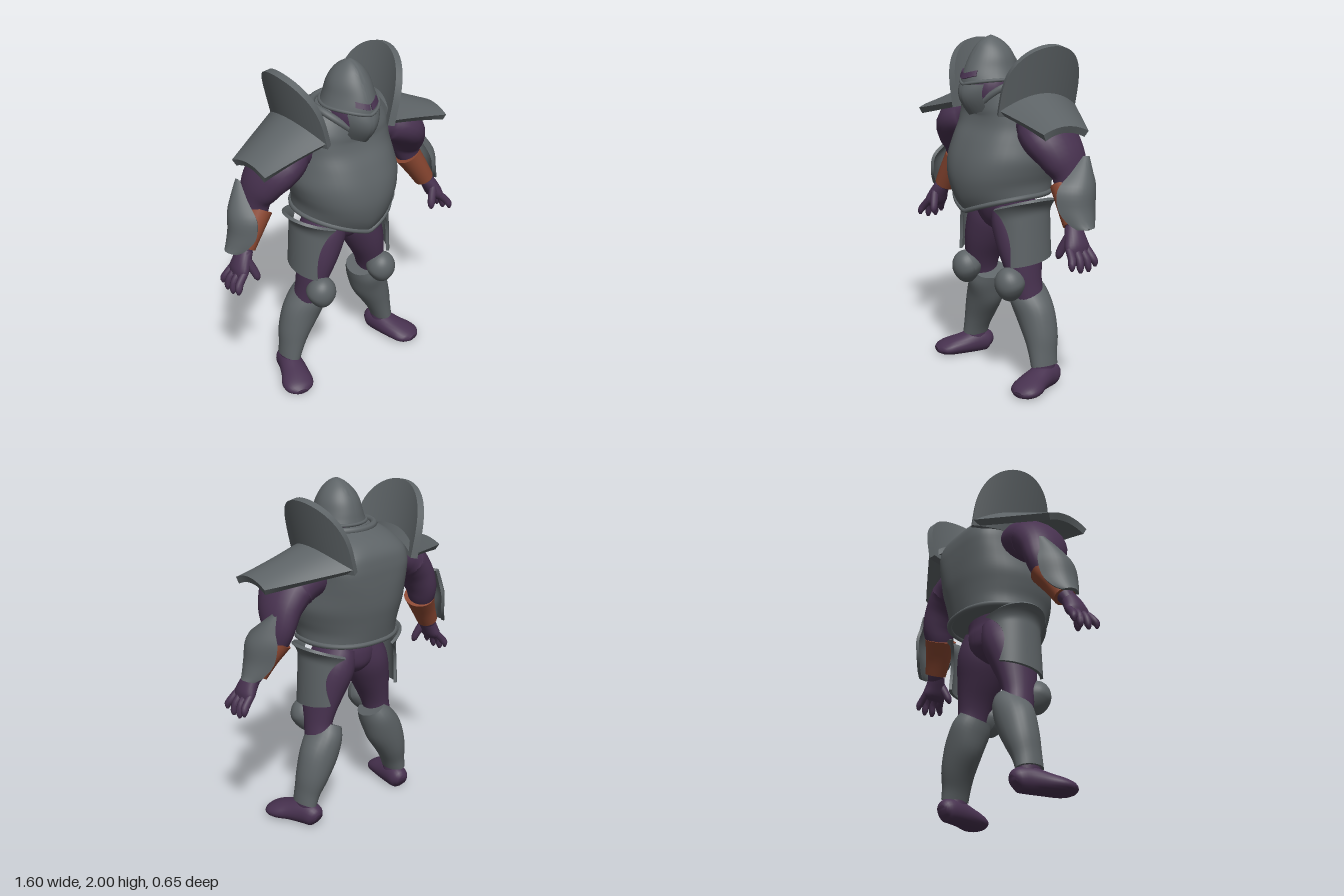
import * as THREE from 'three';
import { toCreasedNormals } from 'three/addons/utils/BufferGeometryUtils.js';

const steel = new THREE.MeshStandardMaterial({ color: 0x5d6366 });
steel.name = 'steel';
const violet = new THREE.MeshStandardMaterial({ color: 0x483250 });
violet.name = 'violet';
const rust = new THREE.MeshStandardMaterial({ color: 0x8c4832 });
rust.name = 'rust';

const M = 48;
const V = (x, y, z) => new THREE.Vector3(x, y, z);
const lerp = THREE.MathUtils.lerp;

// Catmull-Rom refinement of rows of numbers
function smooth(rows, n = 4) {
  const out = [];
  for (let i = 0; i < rows.length - 1; i++) {
    const p = [rows[Math.max(0, i - 1)], rows[i], rows[i + 1], rows[Math.min(rows.length - 1, i + 2)]];
    for (let k = 0; k < n; k++) {
      const t = k / n;
      out.push(rows[i].map((_, c) => {
        const [a, b, d, e] = p.map((r) => r[c]);
        return 0.5 * (2 * b + (d - a) * t + (2 * a - 5 * b + 4 * d - e) * t * t + (3 * b - a - 3 * d + e) * t * t * t);
      }));
    }
  }
  out.push(rows[rows.length - 1]);
  return out;
}

// Skin over closed rings, both ends closed by strips
function loft(rings, crease = 0.9) {
  const m = rings[0].length, last = (rings.length - 1) * m, pos = [], idx = [];
  rings.forEach((r) => r.forEach((p) => pos.push(p.x, p.y, p.z)));
  for (let i = 0; i < rings.length - 1; i++) {
    for (let j = 0; j < m; j++) {
      const a = i * m + j, b = i * m + (j + 1) % m;
      idx.push(a, b, a + m, b, b + m, a + m);
    }
  }
  for (let j = 0; j < m / 2 - 1; j++) {
    const a = j, b = j + 1, c = m - 2 - j, d = m - 1 - j;
    idx.push(a, c, b, a, d, c);
    idx.push(last + a, last + b, last + c, last + a, last + c, last + d);
  }
  const g = new THREE.BufferGeometry();
  g.setAttribute('position', new THREE.Float32BufferAttribute(pos, 3));
  g.setIndex(idx);
  return toCreasedNormals(g, crease);
}

// Point on a level oval: row = [y, halfWidth, zFront, zBack, frontDrop, keel, squareness]
function oval([y, w, zf, zb, drop = 0, keel = 0, square = 0], a) {
  const c = Math.cos(a), s = Math.sin(a);
  const sx = Math.sign(s) * Math.abs(s) ** (1 - square * (c < 0 ? 1.35 : 1));
  return V(w * sx * (1 - keel * Math.max(0, c)), y - (c > 0 ? drop * (1 - Math.abs(sx)) : 0),
    (zf + zb) / 2 + (zf - zb) / 2 * c);
}
// Samples crowd towards the front and back centre lines
const ovalRing = (row) => Array.from({ length: M }, (_, j) => {
  const a = 2 * Math.PI * (j + 0.5) / M;
  return oval(row, a - 0.25 * Math.sin(2 * a));
});
const body = (rows) => loft(smooth(rows).map(ovalRing));
const rim = (row, r) => new THREE.TubeGeometry(new THREE.CatmullRomCurve3(ovalRing(row), true), 80, r, 8, true);

// Limb along a path: rows = [x, y, z, sideRadius, refRadius]
function limb(rows, { ref = V(0, 0, 1), m = 24, n = 4 } = {}) {
  const r = smooth(rows, n), at = (i) => V(...r[Math.min(r.length - 1, Math.max(0, i))].slice(0, 3));
  return loft(r.map((row, i) => {
    const t = at(i + 1).sub(at(i - 1)).normalize();
    const e0 = ref.clone().addScaledVector(t, -ref.dot(t)).normalize();
    const e1 = t.clone().cross(e0);
    return Array.from({ length: m }, (_, j) => {
      const a = 2 * Math.PI * (j + 0.5) / m;
      return at(i).addScaledVector(e1, row[3] * Math.sin(a)).addScaledVector(e0, row[4] * Math.cos(a));
    });
  }));
}

// Curved plate of even thickness around a surface f(u, v)
function slab(f, nu, nv, th) {
  const e = 0.01, rings = [];
  for (let i = 0; i <= nu; i++) {
    const top = [], low = [];
    for (let j = 0; j <= nv; j++) {
      const u = i / nu, v = j / nv, p = f(u, v);
      const du = f(Math.min(1, u + e), v).sub(f(Math.max(0, u - e), v));
      const dv = f(u, Math.min(1, v + e)).sub(f(u, Math.max(0, v - e)));
      const n = dv.cross(du).normalize();
      top.push(p.clone().addScaledVector(n, th / 2));
      low.unshift(p.clone().addScaledVector(n, -th / 2));
    }
    rings.push([...top, ...low]);
  }
  return loft(rings, 0.7);
}

// Mirror across x, keeping faces outward
function mirror(geo) {
  const g = geo.index ? geo.toNonIndexed() : geo.clone();
  for (const name of ['position', 'normal']) {
    const a = g.attributes[name];
    for (let i = 0; i < a.count; i += 3) {
      const p = [0, 2, 1].map((k) => [-a.getX(i + k), a.getY(i + k), a.getZ(i + k)]);
      p.forEach((q, k) => a.setXYZ(i + k, ...q));
    }
  }
  return g;
}

export function createModel() {
  const model = new THREE.Group();
  model.name = 'armouredWarrior';
  const add = (name, geo, mat) => {
    const mesh = new THREE.Mesh(geo, mat);
    mesh.name = name;
    model.add(mesh);
  };
  const pair = (name, geo, mat) => {
    add(name + 'Left', geo, mat);
    add(name + 'Right', mirror(geo), mat);
  };

  // Cuirass: square shoulders, pointed lower edge and V-shaped collar
  const hem = [1.12, 0.292, 0.275, -0.25, 0.105, 0, 0.1], neck = [1.745, 0.185, 0.2, -0.12, 0.165, 0, 0];
  add('cuirass', body([hem, [1.18, 0.293, 0.31, -0.262, 0.09, 0, 0.1], [1.25, 0.312, 0.327, -0.275, 0.05, 0, 0.1],
    [1.33, 0.326, 0.312, -0.287, 0.02, 0, 0.15], [1.42, 0.312, 0.268, -0.29, 0, 0, 0.28],
    [1.5, 0.3, 0.222, -0.288, 0, 0, 0.4], [1.57, 0.295, 0.202, -0.283, 0.02, 0, 0.45],
    [1.64, 0.284, 0.2, -0.265, 0.075, 0, 0.38], [1.7, 0.245, 0.2, -0.21, 0.125, 0, 0.2], neck]), steel);
  add('cuirassHem', rim(hem, 0.015), steel);
  add('collar', rim(neck, 0.02), steel);

  // Head, helmet and face guard
  add('head', new THREE.SphereGeometry(1, 28, 20).scale(0.138, 0.17, 0.145).translate(0, 1.695, 0.09), violet);
  const brow = [1.765, 0.162, 0.275, -0.08, 0.03, 0.2];
  add('helmet', body([brow, [1.79, 0.15, 0.268, -0.074, 0.012, 0.2], [1.83, 0.135, 0.25, -0.065, 0, 0.18],
    [1.88, 0.12, 0.225, -0.048, 0, 0.14], [1.92, 0.099, 0.2, -0.025, 0, 0.1], [1.955, 0.07, 0.173, 0.005, 0, 0.05],
    [1.985, 0.034, 0.134, 0.05, 0, 0], [2.0, 0.004, 0.096, 0.088, 0, 0]]), steel);
  add('helmetRim', rim(brow, 0.01), steel);
  add('faceGuard', slab((u, v) => oval([1.6 + 0.145 * u, 0.11 + 0.035 * u, 0.228 + 0.058 * Math.sin(2.2 * u),
    -0.05, 0.03 - 0.01 * u, 0.25], lerp(-0.95, 0.95, v)), 8, 30, 0.024), steel);
  pair('eyeSlit', slab((u, v) => {
    const a = lerp(0.04, 0.62, v), y = 1.766 + 0.02 * v + 0.03 * u, d = y - 1.78;
    return oval([y, 0.158 - 0.38 * d, 0.276 - 0.44 * d, -0.07, 0, 0.2], a);
  }, 2, 10, 0.007), violet);

  // Shoulder armour: sloping plate and upright curved fin
  pair('shoulderPlate', slab((u, v) => V(0.23 + 0.4 * u + 0.015 * u * v,
    1.715 - 0.17 * u - 0.12 * (1 - 0.72 * u) * (2 * v - 1) ** 2,
    lerp(0.185 - 0.008 * Math.sin(Math.PI * u), -0.31 + 0.23 * u, v)), 12, 16, 0.04), steel);
  pair('shoulderFin', slab((u, v) => {
    const s = Math.max(0, Math.sin(Math.PI * u)), h = v * (0.05 + 0.33 * s ** 0.7);
    return V(0.215 + 0.06 * s * s + 0.25 * h, 1.58 + h, -0.06 + 0.255 * Math.cos(Math.PI * u));
  }, 32, 8, 0.04), steel);

  // Arms, bracers and elbow shields
  pair('arm', limb([[0.2, 1.5, -0.02, 0.1, 0.11], [0.32, 1.515, -0.02, 0.12, 0.145], [0.425, 1.47, 0, 0.12, 0.175],
    [0.5, 1.385, -0.025, 0.1, 0.15], [0.538, 1.29, -0.05, 0.08, 0.115], [0.558, 1.2, -0.04, 0.066, 0.085],
    [0.61, 1.1, -0.01, 0.05, 0.06], [0.66, 1.03, 0.005, 0.046, 0.052], [0.69, 0.98, 0.02, 0.036, 0.05]]), violet);
  pair('bracer', limb([[0.543, 1.215, -0.038, 0.08, 0.1], [0.603, 1.12, -0.015, 0.069, 0.08],
    [0.657, 1.028, 0, 0.06, 0.066]]), rust);
  const shield = smooth([[1.38, 0.615, 0.015, -0.11], [1.3, 0.67, 0.07, -0.065], [1.22, 0.71, 0.125, -0.03],
    [1.12, 0.722, 0.12, -0.02], [1.05, 0.742, 0.085, -0.02], [1.02, 0.758, 0.05, -0.02]], 4);
  pair('elbowShield', slab((u, v) => {
    const k = u * (shield.length - 1), i = Math.min(shield.length - 2, Math.floor(k)), t = 2 * v - 1;
    const [y, x, w, z] = shield[i].map((q, c) => lerp(q, shield[i + 1][c], k - i));
    return V(x - 0.65 * w * t * t, y, z + w * t);
  }, 20, 14, 0.018), steel);

  // Hands
  pair('palm', limb([[0.665, 1.02, 0.015, 0.042, 0.05], [0.695, 0.97, 0.025, 0.044, 0.064],
    [0.72, 0.92, 0.03, 0.04, 0.077], [0.738, 0.89, 0.03, 0.024, 0.064]]), violet);
  [[0.085, 0.112, 0.82], [0.047, 0.055, 0.8], [0.01, 0.002, 0.8], [-0.025, -0.042, 0.822]].forEach(([z0, z1, y]) => {
    pair('finger', limb([[0.715, 0.925, z0, 0.022, 0.021], [0.762, 0.875, (z0 + z1) / 2, 0.023, 0.022],
      [0.778, y + 0.025, z1, 0.02, 0.019], [0.78, y, z1, 0.008, 0.008]], { m: 10, n: 3 }), violet);
  });
  pair('thumb', limb([[0.685, 0.98, 0.06, 0.026, 0.026], [0.655, 0.91, 0.085, 0.024, 0.024],
    [0.645, 0.875, 0.095, 0.02, 0.02], [0.642, 0.855, 0.098, 0.008, 0.008]], { m: 10, n: 3 }), violet);

  // Hips and legs
  add('hips', body([[0.865, 0.02, 0.03, -0.05], [0.9, 0.085, 0.1, -0.11], [0.95, 0.15, 0.14, -0.145],
    [1.02, 0.192, 0.165, -0.15], [1.08, 0.2, 0.172, -0.14], [1.18, 0.2, 0.17, -0.14]]), violet);
  pair('leg', limb([[0.085, 1.05, 0, 0.1, 0.14], [0.125, 0.94, 0, 0.126, 0.155], [0.172, 0.81, 0.01, 0.115, 0.14],
    [0.21, 0.68, 0.01, 0.086, 0.115], [0.23, 0.58, 0, 0.072, 0.095], [0.24, 0.48, -0.02, 0.075, 0.09]]), violet);
  // Thigh guards have hollowed front and back edges and a flared top
  pair('thighGuard', slab((u, v) => {
    const hollow = Math.sin(Math.PI * u), flare = Math.max(0, 1 - 4 * u) ** 2;
    const a = lerp(0.03 + 0.25 * hollow + 0.45 * u, Math.PI - 0.08 - 0.45 * hollow - 0.3 * u, v);
    return V(0.16 + 0.05 * u + (0.145 - 0.035 * u + 0.055 * flare) * Math.sin(a),
      lerp(1.04 + 0.07 * Math.sin(a), 0.715 + 0.045 * v, u), (0.165 - 0.01 * u + 0.02 * flare) * Math.cos(a));
  }, 24, 24, 0.018), steel);

  // Knee caps narrow towards the lower point
  const knee = new THREE.SphereGeometry(1, 28, 20), kp = knee.attributes.position;
  for (let i = 0; i < kp.count; i++) kp.setX(i, kp.getX(i) * (1 - 0.35 * Math.max(0, -kp.getY(i))));
  knee.computeVertexNormals();
  pair('kneeCap', knee.scale(0.09, 0.102, 0.088).rotateX(0.3).translate(0.225, 0.608, 0.118), steel);
  pair('greave', limb([[0.175, 0.58, -0.015, 0.08, 0.098], [0.205, 0.52, -0.025, 0.097, 0.12],
    [0.257, 0.42, -0.038, 0.116, 0.112], [0.31, 0.3, -0.04, 0.095, 0.102], [0.342, 0.2, -0.032, 0.07, 0.088],
    [0.36, 0.13, -0.03, 0.058, 0.085]]), steel);

  // Feet with flat soles
  pair('ankle', limb([[0.35, 0.04, -0.035, 0.058, 0.075], [0.355, 0.17, -0.03, 0.05, 0.07]]), violet);
  const foot = limb([[0.34, 0.05, -0.128, 0.035, 0.035], [0.345, 0.06, -0.1, 0.06, 0.066], [0.358, 0.066, -0.03, 0.07, 0.076],
    [0.385, 0.054, 0.06, 0.083, 0.062], [0.415, 0.042, 0.13, 0.094, 0.05], [0.43, 0.034, 0.18, 0.08, 0.036],
    [0.437, 0.028, 0.21, 0.04, 0.018]], { ref: V(0, 1, 0) });
  const fp = foot.attributes.position;
  for (let i = 0; i < fp.count; i++) fp.setY(i, Math.max(0, fp.getY(i)));
  pair('foot', toCreasedNormals(foot, 0.8), violet);

  return model;
}
